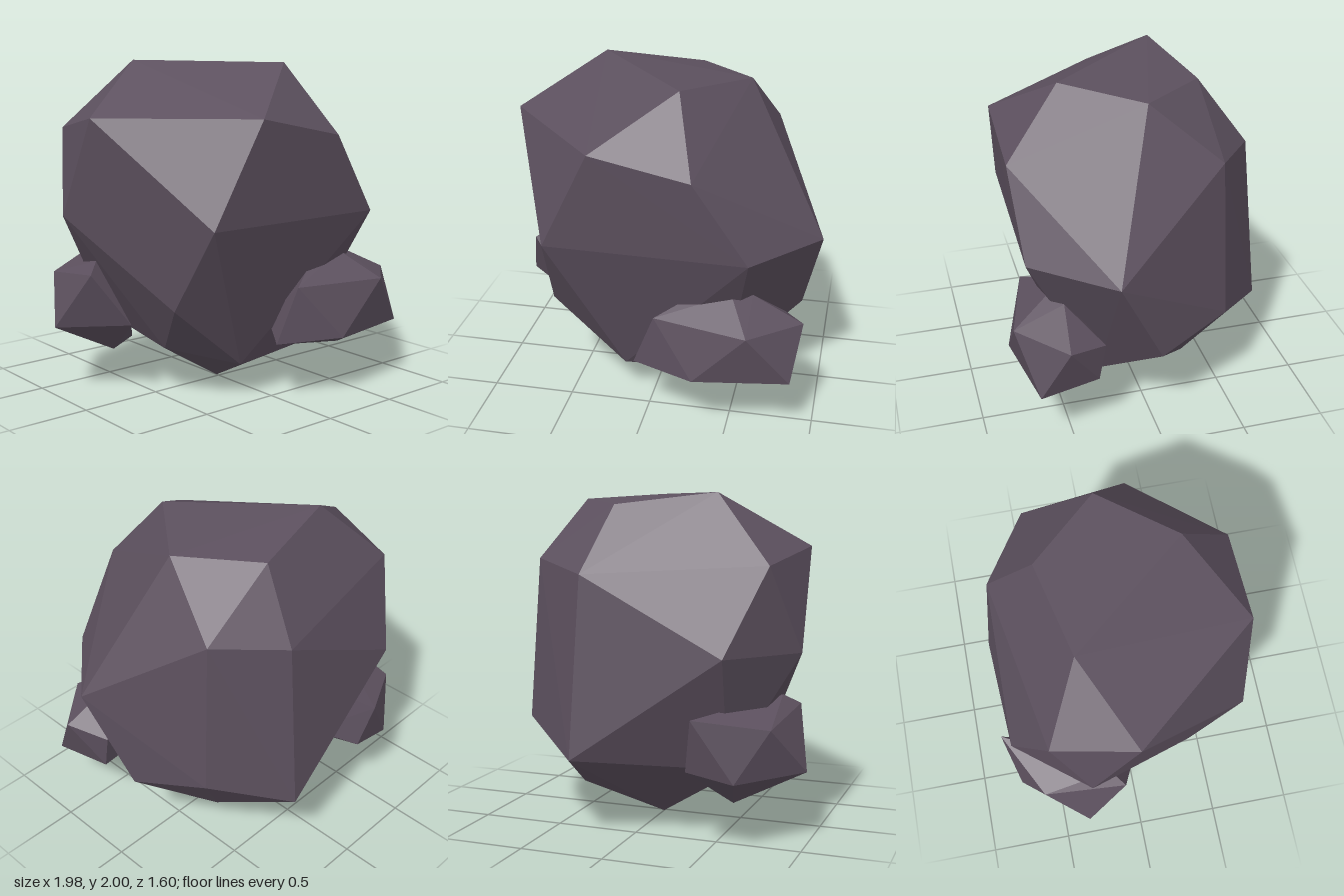
import * as THREE from 'three';
import { ConvexGeometry } from 'three/addons/geometries/ConvexGeometry.js';

export function createModel() {
  const group = new THREE.Group();
  const stone = new THREE.MeshStandardMaterial({ color: 0x5c505e, flatShading: true });
  stone.name = 'purple grey stone';

  // A faceted rock is the hull of its corner points
  const addRock = (name, corners) => {
    const points = corners.map((c) => new THREE.Vector3(...c));
    const mesh = new THREE.Mesh(new ConvexGeometry(points), stone);
    mesh.name = name;
    group.add(mesh);
  };

  addRock('mainBoulder', [
    // crown
    [-0.43, 2.0, -0.29], [0.16, 1.99, 0.41], [0.51, 1.96, -0.02], [0.16, 1.93, -0.42],
    // shoulders
    [-0.29, 1.7, 0.74], [0.29, 1.58, 0.74], [-0.92, 1.69, -0.02],
    [0.64, 1.61, -0.43], [0.26, 1.54, -0.7], [-0.8, 1.6, -0.51],
    // waist
    [-0.59, 1.1, 0.68], [0.61, 1.1, 0.71], [0.99, 1.1, 0.26],
    [-0.94, 1.1, -0.3], [-0.6, 1.1, -0.73],
    // lower corners
    [0.87, 0.53, -0.02], [0.7, 0.65, -0.46], [0.29, 0.48, -0.8],
    [-0.63, 0.6, 0.37], [-0.55, 0.42, -0.45],
    // foot
    [-0.17, 0.21, 0.41], [0.44, 0.19, 0.26], [0.43, 0.22, -0.28],
    [-0.5, 0.3, 0.1], [0, 0, -0.02],
  ]);

  addRock('frontSmallRock', [
    [0.27, 0.8, 0.55], [0.5, 0.84, 0.56], [0.62, 0.82, 0.5],
    [0.06, 0.69, 0.66], [0.62, 0.69, 0.8], [0.92, 0.68, 0.53], [0.8, 0.62, 0.3],
    [-0.07, 0.36, 0.62], [0.31, 0.37, 0.79], [0.87, 0.37, 0.7], [0.8, 0.39, 0.34],
    [0.53, 0.25, 0.53], [0.1, 0.45, 0.35],
  ]);

  addRock('sideSmallRock', [
    [-0.8, 0.83, -0.17], [-0.89, 0.77, -0.09], [-0.44, 0.77, -0.8],
    [-0.84, 0.7, -0.59], [-0.99, 0.42, -0.34], [-0.67, 0.45, 0],
    [-0.67, 0.41, -0.73], [-0.39, 0.46, -0.73],
    [-0.56, 0.2, -0.36], [-0.46, 0.28, -0.3],
  ]);

  return group;
}
